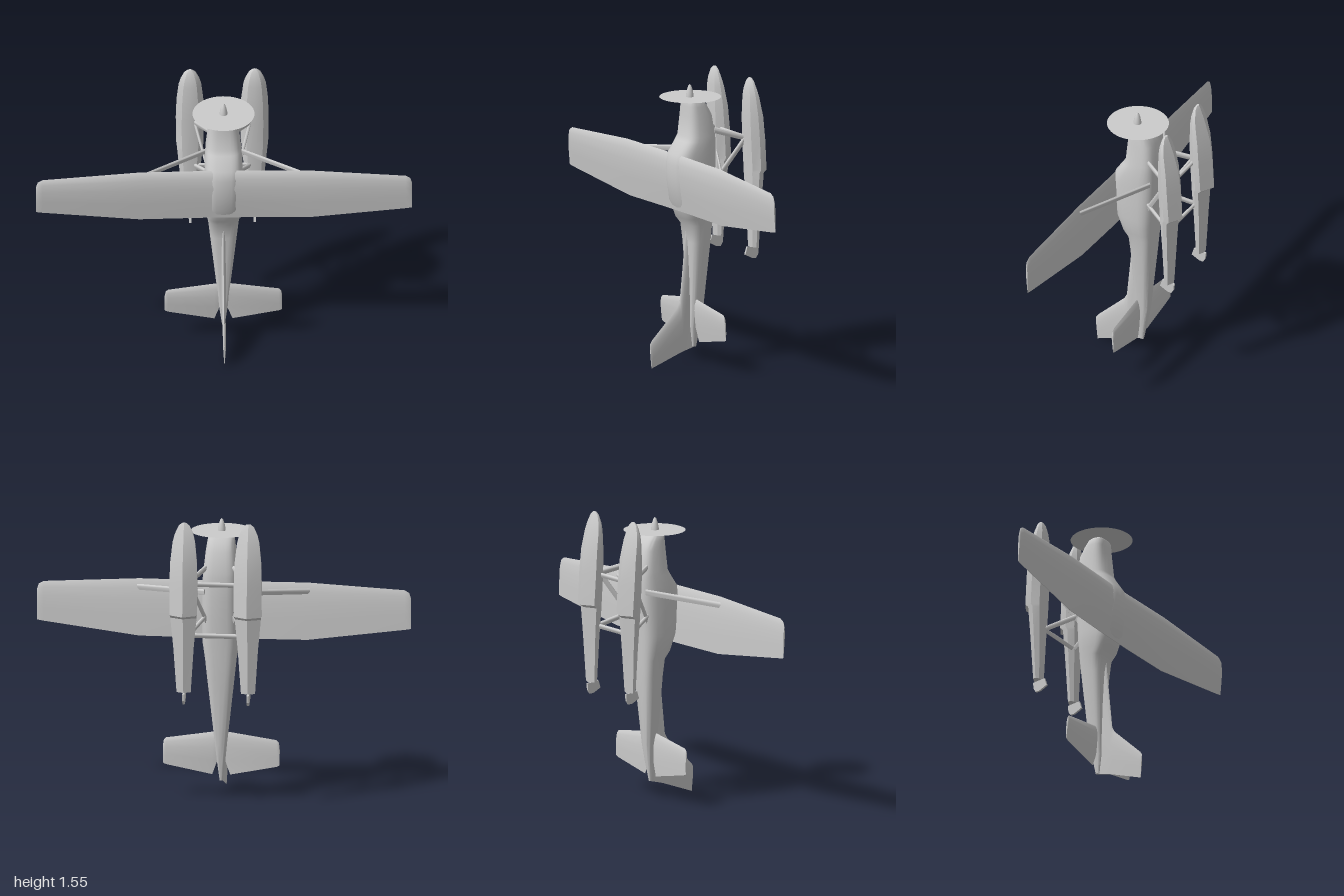
import * as THREE from 'three';
import { toCreasedNormals } from 'three/addons/utils/BufferGeometryUtils.js';

const grey = new THREE.MeshStandardMaterial({ color: 0xcccccc, side: THREE.DoubleSide });
const V = (x, y, z) => new THREE.Vector3(x, y, z);

// Skin a row of equal-length rings, cap both ends, and make it face outwards
function loft(rings, crease = 0.6) {
  const n = rings[0].length, pts = rings.flat(), index = [];
  for (let r = 0; r < rings.length - 1; r++) {
    for (let i = 0; i < n; i++) {
      const a = r * n + i, b = r * n + (i + 1) % n;
      index.push(a, b, b + n, a, b + n, a + n);
    }
  }
  [0, rings.length - 1].forEach((r, end) => {
    const c = pts.length;
    pts.push(rings[r].reduce((s, p) => s.add(p), V(0, 0, 0)).divideScalar(n));
    for (let i = 0; i < n; i++) {
      const a = r * n + i, b = r * n + (i + 1) % n;
      index.push(c, ...(end ? [a, b] : [b, a]));
    }
  });
  let volume = 0;
  for (let i = 0; i < index.length; i += 3) {
    volume += pts[index[i]].dot(V(0, 0, 0).crossVectors(pts[index[i + 1]], pts[index[i + 2]]));
  }
  if (volume < 0) index.reverse();
  const geo = new THREE.BufferGeometry().setFromPoints(pts);
  geo.setIndex(index);
  return toCreasedNormals(geo, crease);
}

// Aerofoil ring between a leading and a trailing point
function foil(le, te, normal, upper, lower = upper) {
  const t = [0, 0.04, 0.15, 0.35, 0.65, 1], h = [0, 0.4, 0.8, 1, 0.65, 0.1];
  const at = (i, s) => le.clone().lerp(te, t[i]).addScaledVector(normal, h[i] * s);
  return [...t.map((_, i) => at(i, upper)), ...[5, 4, 3, 2, 1].map(i => at(i, -lower))];
}

// Superellipse ring for the fuselage
function hullRing([y, top, bottom, w]) {
  const pow = v => Math.sign(v) * Math.abs(v) ** 0.62;
  return Array.from({ length: 28 }, (_, i) => {
    const a = i / 28 * Math.PI * 2;
    return V(w * pow(Math.cos(a)), y, (top + bottom) / 2 + (top - bottom) / 2 * pow(Math.sin(a)));
  });
}

// Both halves of a symmetric surface from stations listed root to tip
function span(stations) {
  const left = stations.map(([x, yl, zl, yt, zt, up, low]) =>
    [x, yl, zl, yt, zt, up, low]);
  const right = left.map(([x, ...rest]) => [-x, ...rest]).reverse();
  return loft([...right, ...left].map(([x, yl, zl, yt, zt, up, low]) =>
    foil(V(x, yl, zl), V(x, yt, zt), V(0, 0, 1), up, low)), 0.7);
}

// Streamlined bar with its chord along y
function bar(a, b, chord, half) {
  const n = b.clone().sub(a).cross(V(0, 1, 0)).normalize();
  return loft([a, b].map(p =>
    foil(p.clone().add(V(0, chord / 2, 0)), p.clone().sub(V(0, chord / 2, 0)), n, half)), 0.9);
}

export function createModel() {
  const model = new THREE.Group();
  model.name = 'floatplane';
  const add = (name, geo, parent = model) => {
    const mesh = new THREE.Mesh(geo, grey);
    mesh.name = name;
    parent.add(mesh);
    return mesh;
  };

  // Fuselage: y, top z, belly z, half width
  add('fuselage', loft([
    [1.452, 0.086, 0.012, 0.058], [1.442, 0.09, 0.002, 0.067], [1.41, 0.092, -0.022, 0.073],
    [1.36, 0.096, -0.05, 0.08], [1.25, 0.106, -0.068, 0.092], [1.225, 0.12, -0.07, 0.095],
    [1.155, 0.168, -0.072, 0.1], [1.1, 0.18, -0.071, 0.101], [1.0, 0.174, -0.067, 0.102],
    [0.9, 0.158, -0.06, 0.1], [0.85, 0.137, -0.057, 0.097], [0.805, 0.122, -0.054, 0.09],
    [0.765, 0.09, -0.052, 0.083], [0.67, 0.08, -0.045, 0.073], [0.3, 0.063, -0.015, 0.032],
    [0.2, 0.06, 0.002, 0.022], [0.095, 0.045, 0.022, 0.008],
  ].map(hullRing)));

  // Spinner and propeller disc
  const spinner = add('spinner', new THREE.LatheGeometry([
    [0.021, 0], [0.021, 0.015], [0.016, 0.042], [0.008, 0.067], [0, 0.075],
  ].map(([r, y]) => new THREE.Vector2(r, y)), 16));
  spinner.position.set(0, 1.45, 0.06);
  const disc = add('propellerDisc', new THREE.CircleGeometry(0.165, 48));
  disc.rotation.x = -Math.PI / 2;
  disc.position.set(0, 1.457, 0.057);

  // Wing: x, leading y z, trailing y z, upper and lower thickness
  add('wing', span([
    [0.1, 1.157, 0.155, 0.847, 0.138, 0.022, 0.012],
    [0.45, 1.157, 0.162, 0.847, 0.146, 0.02, 0.012],
    [0.965, 1.125, 0.176, 0.91, 0.166, 0.012, 0.008],
    [0.99, 1.11, 0.176, 0.914, 0.167, 0.01, 0.007],
    [1.0, 1.08, 0.175, 0.916, 0.168, 0.005, 0.004],
  ]));

  // Tailplane with a notch beside the rudder
  add('tailplane', span([
    [0.018, 0.36, 0.042, 0.21, 0.036, 0.011],
    [0.048, 0.357, 0.042, 0.127, 0.031, 0.011],
    [0.295, 0.32, 0.04, 0.175, 0.033, 0.008],
    [0.307, 0.308, 0.04, 0.18, 0.033, 0.007],
    [0.312, 0.28, 0.038, 0.184, 0.033, 0.004],
  ]));

  // Swept fin with its long dorsal fillet
  add('fin', loft([
    [0.77, 0.083, 0.095, 0.025, 0.012], [0.345, 0.124, 0.076, 0.1, 0.011],
    [0.315, 0.14, 0.07, 0.12, 0.01], [0.158, 0.3, 0.009, 0.293, 0.007],
    [0.14, 0.312, 0.005, 0.303, 0.004],
  ].map(([yl, zl, yt, zt, h]) => foil(V(0, yl, zl), V(0, yt, zt), V(1, 0, 0), h)), 0.7));

  // Water rudder blade in the z-y plane
  const blade = new THREE.Shape([
    [-0.177, 0.6], [-0.19, 0.642], [-0.262, 0.632], [-0.258, 0.595], [-0.245, 0.575], [-0.222, 0.577],
  ].map(([z, y]) => new THREE.Vector2(z, y)));

  for (const s of [1, -1]) {
    const side = new THREE.Group();
    side.name = s > 0 ? 'leftSide' : 'rightSide';
    model.add(side);

    // Float with V bottom and step: y, deck z, keel z, half width
    add('float', loft([
      [1.56, -0.204, -0.218, 0.012], [1.545, -0.195, -0.226, 0.03], [1.5, -0.184, -0.243, 0.05],
      [1.46, -0.18, -0.257, 0.06], [1.355, -0.177, -0.286, 0.071], [1.23, -0.18, -0.3, 0.075],
      [1.066, -0.189, -0.31, 0.073], [1.05, -0.19, -0.285, 0.07], [0.88, -0.199, -0.274, 0.054],
      [0.64, -0.209, -0.258, 0.038],
    ].map(([y, deck, keel, w]) => {
      const h = deck - keel;
      const half = [[1, 0.35], [0.97, 0.62], [0.6, 0.93]];
      const pts = [[0, 0], ...half, [0, 1], ...half.map(([a, b]) => [-a, b]).reverse()];
      return pts.map(([a, b]) => V(s * 0.172 + a * w, y, keel + b * h));
    }), 0.5), side);

    const rudder = add('waterRudder', new THREE.ExtrudeGeometry(blade, { depth: 0.012, bevelEnabled: false }), side);
    rudder.rotation.y = -Math.PI / 2;
    rudder.position.x = s * 0.172 + 0.006;

    // Float legs, diagonal brace and wing strut
    add('frontFloatStrut', bar(V(s * 0.075, 1.275, -0.05), V(s * 0.15, 1.23, -0.2), 0.034, 0.009), side);
    add('rearFloatStrut', bar(V(s * 0.075, 1.01, -0.045), V(s * 0.15, 0.943, -0.215), 0.03, 0.009), side);
    add('diagonalBrace', bar(V(s * 0.075, 0.995, -0.05), V(s * 0.15, 1.235, -0.2), 0.045, 0.008), side);
    add('wingStrut', bar(V(s * 0.08, 1.145, -0.06), V(s * 0.46, 1.112, 0.155), 0.032, 0.006), side);
  }

  // Spreader bars between the floats
  for (const [name, y] of [['frontSpreaderBar', 1.225], ['rearSpreaderBar', 0.945]]) {
    add(name, bar(V(-0.15, y, -0.213), V(0.15, y, -0.213), 0.026, 0.009));
  }
  return model;
}
